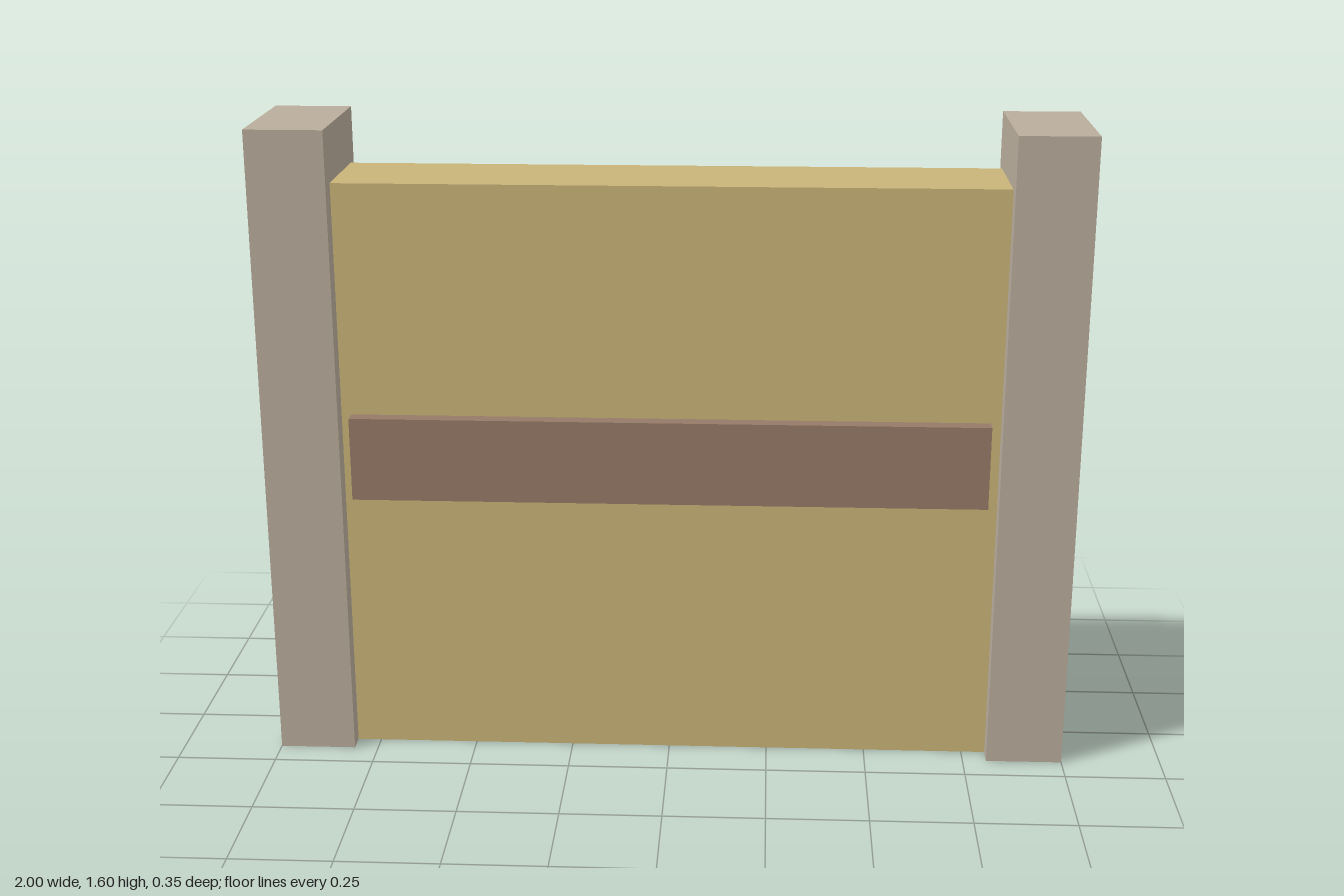
import * as THREE from 'three';

export function createModel() {
  const model = new THREE.Group();
  const stone = new THREE.MeshStandardMaterial({ name: 'stone', color: 0xb9ac9b });
  const paleWood = new THREE.MeshStandardMaterial({ name: 'paleWood', color: 0xc8b478 });
  const darkWood = new THREE.MeshStandardMaterial({ name: 'darkWood', color: 0x957a66 });

  // Box given by its minimum and maximum corners
  function box(name, material, min, max) {
    const size = max.map((v, i) => v - min[i]);
    const mesh = new THREE.Mesh(new THREE.BoxGeometry(...size), material);
    mesh.position.set(...max.map((v, i) => (v + min[i]) / 2));
    mesh.name = name;
    model.add(mesh);
  }

  // Square-edged posts at both ends
  box('leftPost', stone, [0.81, 0, -0.175], [1, 1.6, 0.173]);
  box('rightPost', stone, [-1, 0, -0.175], [-0.81, 1.6, 0.173]);

  // Wall panel between the posts, set slightly back
  box('panel', paleWood, [-0.81, 0, -0.135], [0.81, 1.465, 0.124]);

  // Crossbar standing just clear of the panel's front
  box('crossbar', darkWood, [-0.783, 0.682, 0.139], [0.783, 0.892, 0.176]);

  return model;
}
